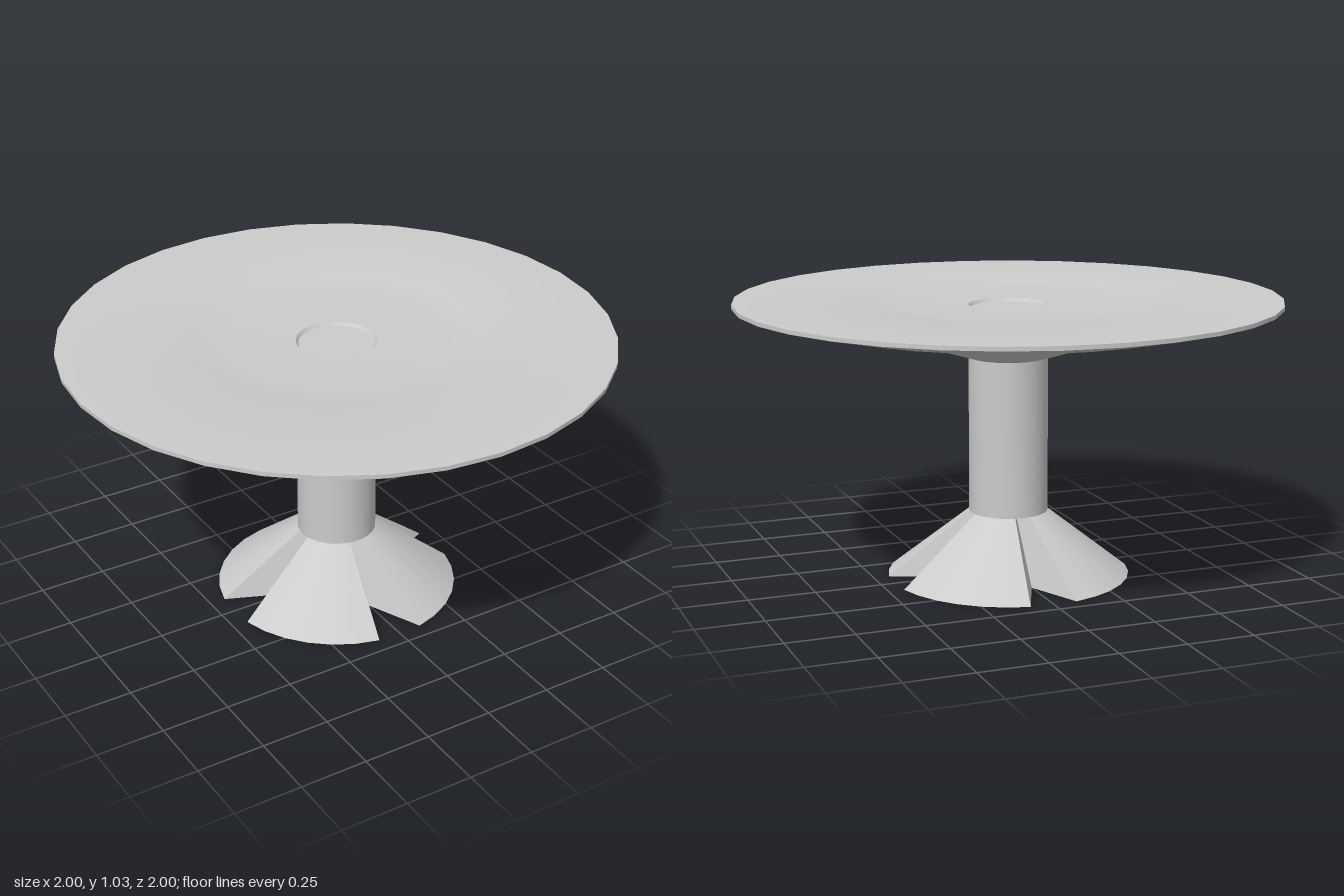
import * as THREE from 'three';
import { toCreasedNormals } from 'three/addons/utils/BufferGeometryUtils.js';

const SIDES = 32;
const COLUMN_R = 0.146;
const FOOT_H = 0.24;

export function createModel() {
  const group = new THREE.Group();
  const material = new THREE.MeshStandardMaterial({ color: 0xcccccc });

  const add = (name, geometry, crease) => {
    const mesh = new THREE.Mesh(toCreasedNormals(geometry, crease), material);
    mesh.name = name;
    group.add(mesh);
  };
  const lathe = (profile) =>
    new THREE.LatheGeometry(profile.map(([r, y]) => new THREE.Vector2(r, y)), SIDES);

  // Round top: sloping underside, thin rim, shallow dish and sunken centre
  add('tableTop', lathe([
    [COLUMN_R, 0.82], [0.4, 0.9], [0.76, 0.965], [1, 1.02], [1, 1.035],
    [0.575, 1.035], [0.515, 1.023], [0.4, 1.015], [0.146, 1.012], [0.137, 1.0], [0, 1.0],
  ]), 0.35);

  // Column
  add('column', lathe([[0, FOOT_H], [COLUMN_R, FOOT_H], [COLUMN_R, 0.82]]), 0.5);

  // Flared foot: the vertices on the x and z axes are drawn in to cut four notches
  const foot = new THREE.CylinderGeometry(COLUMN_R, 0.45, FOOT_H, SIDES, 1);
  foot.translate(0, FOOT_H / 2, 0);
  const pos = foot.attributes.position;
  for (let i = 0; i < pos.count; i++) {
    const x = pos.getX(i), z = pos.getZ(i);
    if (Math.min(Math.abs(x), Math.abs(z)) < 1e-4) {
      pos.setX(i, x * 0.52);
      pos.setZ(i, z * 0.52);
    }
  }
  add('foot', foot, 0.5);

  return group;
}
